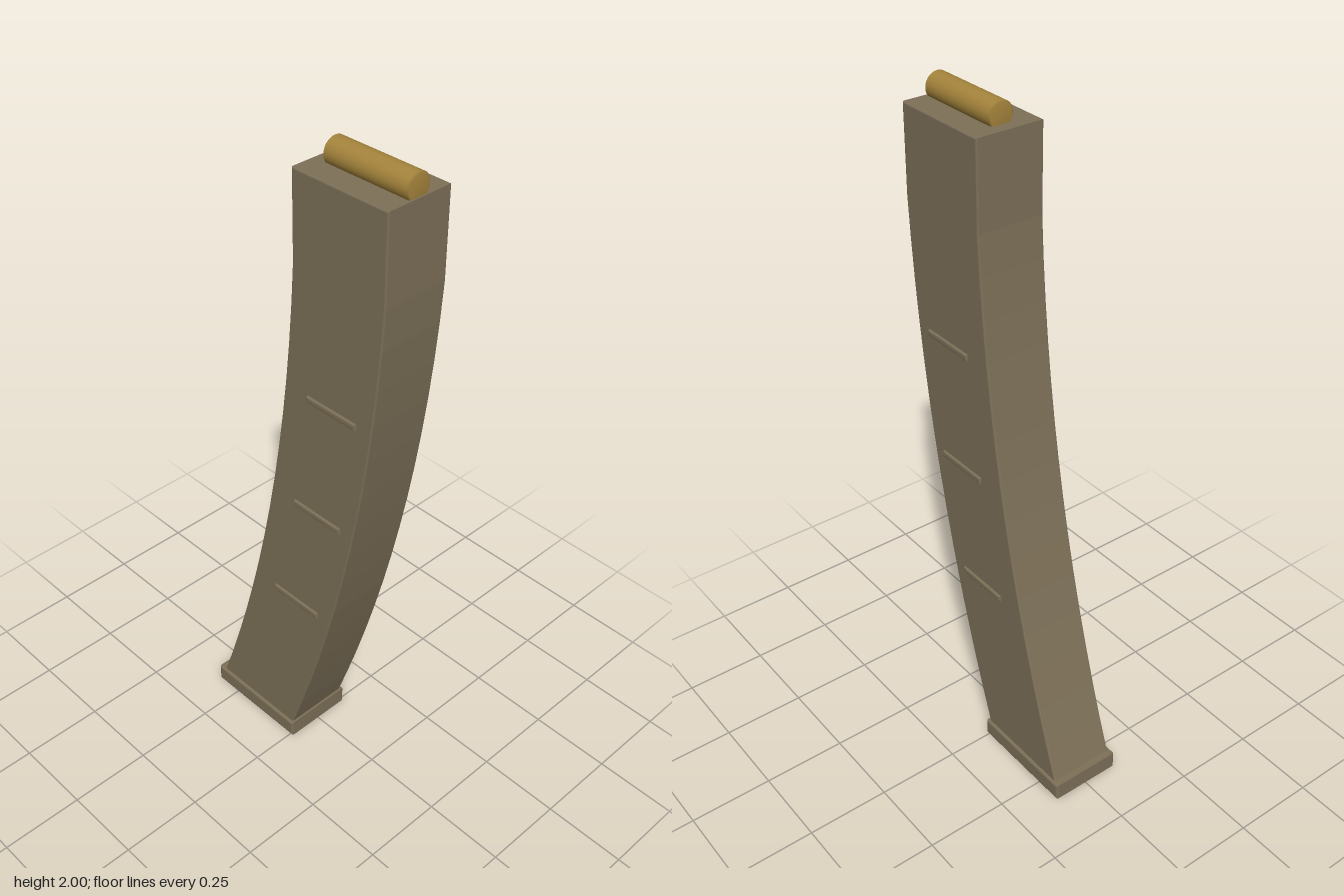
import * as THREE from 'three';

const olive = new THREE.MeshStandardMaterial({ color: 0x7d7058 });
const brass = new THREE.MeshStandardMaterial({ color: 0xa5843c });

// Extrude a (z, y) outline across x, centred on x = 0
function sideExtrude(shape, width, bevel) {
  const geo = new THREE.ExtrudeGeometry(shape, {
    depth: width - 2 * bevel, bevelEnabled: true, bevelSize: bevel, bevelOffset: -bevel,
    bevelThickness: bevel, bevelSegments: 2, curveSegments: 14,
  });
  geo.translate(0, 0, -width / 2 + bevel);
  geo.rotateY(-Math.PI / 2);
  return geo;
}

// Box with small bevelled edges on its side outline
function bevelBox(w, h, d, bevel) {
  const s = new THREE.Shape([
    new THREE.Vector2(-d / 2, -h / 2), new THREE.Vector2(d / 2, -h / 2),
    new THREE.Vector2(d / 2, h / 2), new THREE.Vector2(-d / 2, h / 2),
  ]);
  return sideExtrude(s, w, bevel);
}

function add(group, name, geo, mat, x, y, z) {
  const mesh = new THREE.Mesh(geo, mat);
  mesh.name = name;
  mesh.position.set(x, y, z);
  group.add(mesh);
  return mesh;
}

export function createModel() {
  const model = new THREE.Group();
  model.name = 'curvedMagazine';

  // Curved body: straight at the top, sweeping backwards to the base
  const body = new THREE.Shape();
  body.moveTo(0.335, 1.94);
  body.lineTo(0.025, 1.94);
  body.lineTo(0.025, 1.69);
  body.quadraticCurveTo(-0.018, 0.87, -0.318, 0.045);
  body.lineTo(0, 0.045);
  body.quadraticCurveTo(0.292, 0.87, 0.335, 1.69);
  body.closePath();
  add(model, 'body', sideExtrude(body, 0.204, 0.004), olive, 0, 0, 0);

  // Base plate
  add(model, 'basePlate', bevelBox(0.222, 0.054, 0.346, 0.006), olive, 0, 0.027, -0.163);

  // Three grip ribs on each side
  const ribs = [[1.32, 0.165], [0.952, 0.114], [0.586, 0.028]];
  for (const [y, z] of ribs) {
    for (const side of [-1, 1]) {
      add(model, side > 0 ? 'leftRib' : 'rightRib',
        bevelBox(0.014, 0.018, 0.174, 0.004), olive, side * 0.102, y, z);
    }
  }

  // Cartridge lying in the top, with slightly rounded ends
  const r = 0.038, half = 0.135, c = 0.005;
  const profile = [[0, -half], [r - c, -half], [r, -half + c], [r, half - c], [r - c, half], [0, half]]
    .map(([px, py]) => new THREE.Vector2(px, py));
  const round = THREE.LatheGeometry ? new THREE.LatheGeometry(profile, 28) : null;
  const creased = round.toNonIndexed();
  creased.rotateX(Math.PI / 2);
  add(model, 'cartridge', creased, brass, 0, 1.962, 0.195);

  return model;
}
